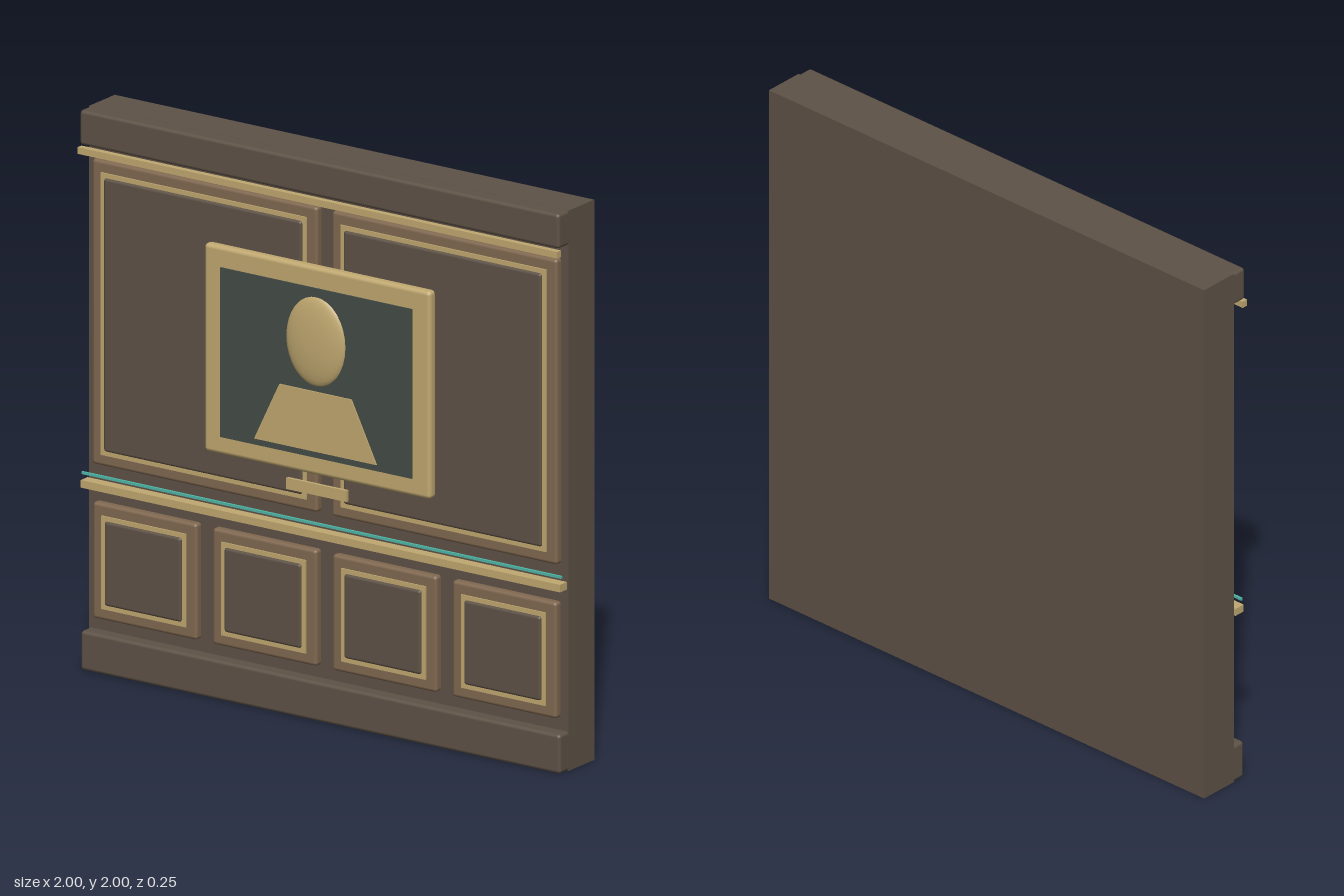
import * as THREE from 'three';
import { RoundedBoxGeometry } from 'three/addons/geometries/RoundedBoxGeometry.js';

const material = (name, color) => {
  const m = new THREE.MeshStandardMaterial({ color });
  m.name = name;
  return m;
};

export function createModel() {
  const wood = material('dark wood', 0x5e5246);
  const trim = material('light wood', 0x806850);
  const gold = material('gold', 0xc0a870);
  const canvas = material('dark canvas', 0x444b46);
  const teal = material('teal', 0x4fb8a8);

  const model = new THREE.Group();
  model.name = 'panelledWall';

  const add = (parent, name, geometry, mat) => {
    const mesh = new THREE.Mesh(geometry, mat);
    mesh.name = name;
    parent.add(mesh);
    return mesh;
  };

  // Box from its limits; a bevel rounds its edges
  const block = (parent, name, mat, [x0, x1], [y0, y1], [z0, z1], bevel = 0) => {
    const size = [x1 - x0, y1 - y0, z1 - z0];
    const geometry = bevel
      ? new RoundedBoxGeometry(...size, 2, bevel)
      : new THREE.BoxGeometry(...size);
    add(parent, name, geometry, mat)
      .position.set((x0 + x1) / 2, (y0 + y1) / 2, (z0 + z1) / 2);
  };

  // Wall with base, crown and rails
  const full = [-1, 1];
  block(model, 'wall', wood, full, [0, 2], [-0.125, 0.025]);
  block(model, 'baseboard', wood, full, [0, 0.14], [0.015, 0.077], 0.012);
  block(model, 'crown', wood, full, [1.876, 2], [0.015, 0.083], 0.012);
  block(model, 'crownRail', gold, full, [1.846, 1.87], [0.07, 0.092]);
  block(model, 'chairRail', gold, full, [0.65, 0.677], [0.034, 0.075]);
  block(model, 'lightStrip', teal, full, [0.697, 0.706], [0.062, 0.07]);

  // Panel: moulding, gold inlay and raised field, each inset from the last
  const panel = (name, cx, width, [y0, y1]) => {
    const group = new THREE.Group();
    group.name = name;
    model.add(group);
    const layer = (part, mat, inset, z, bevel) => block(group, part, mat,
      [cx - width / 2 + inset, cx + width / 2 - inset],
      [y0 + inset, y1 - inset], z, bevel);
    layer('moulding', trim, 0, [0.015, 0.053], 0.012);
    layer('inlay', gold, 0.041, [0.04, 0.058], 0);
    layer('field', wood, 0.057, [0.025, 0.066], 0.01);
  };
  for (const x of [-0.5, 0.5]) panel('upperPanel', x, 0.94, [0.735, 1.825]);
  for (const x of [-0.75, -0.25, 0.25, 0.75]) panel('lowerPanel', x, 0.435, [0.185, 0.6]);

  // Portrait in its frame
  const portrait = new THREE.Group();
  portrait.name = 'portrait';
  model.add(portrait);
  block(portrait, 'frame', gold, [-0.472, 0.472], [0.885, 1.628], [0.055, 0.096], 0.015);
  block(portrait, 'canvas', canvas, [-0.4, 0.4], [0.95, 1.555], [0.092, 0.101]);

  const head = add(portrait, 'head', new THREE.SphereGeometry(1, 24, 16), gold);
  head.scale.set(0.125, 0.16, 0.027);
  head.position.set(0, 1.365, 0.098);

  const outline = new THREE.Shape([[-0.255, 0.973], [0.255, 0.973], [0.15, 1.187], [-0.15, 1.187]]
    .map(([x, y]) => new THREE.Vector2(x, y)));
  add(portrait, 'shoulders', new THREE.ExtrudeGeometry(outline, { depth: 0.006, bevelEnabled: false }), gold)
    .position.z = 0.1;

  // Plaque below the portrait
  block(model, 'plaque', gold, [-0.126, 0.126], [0.815, 0.855], [0.086, 0.098]);

  return model;
}
